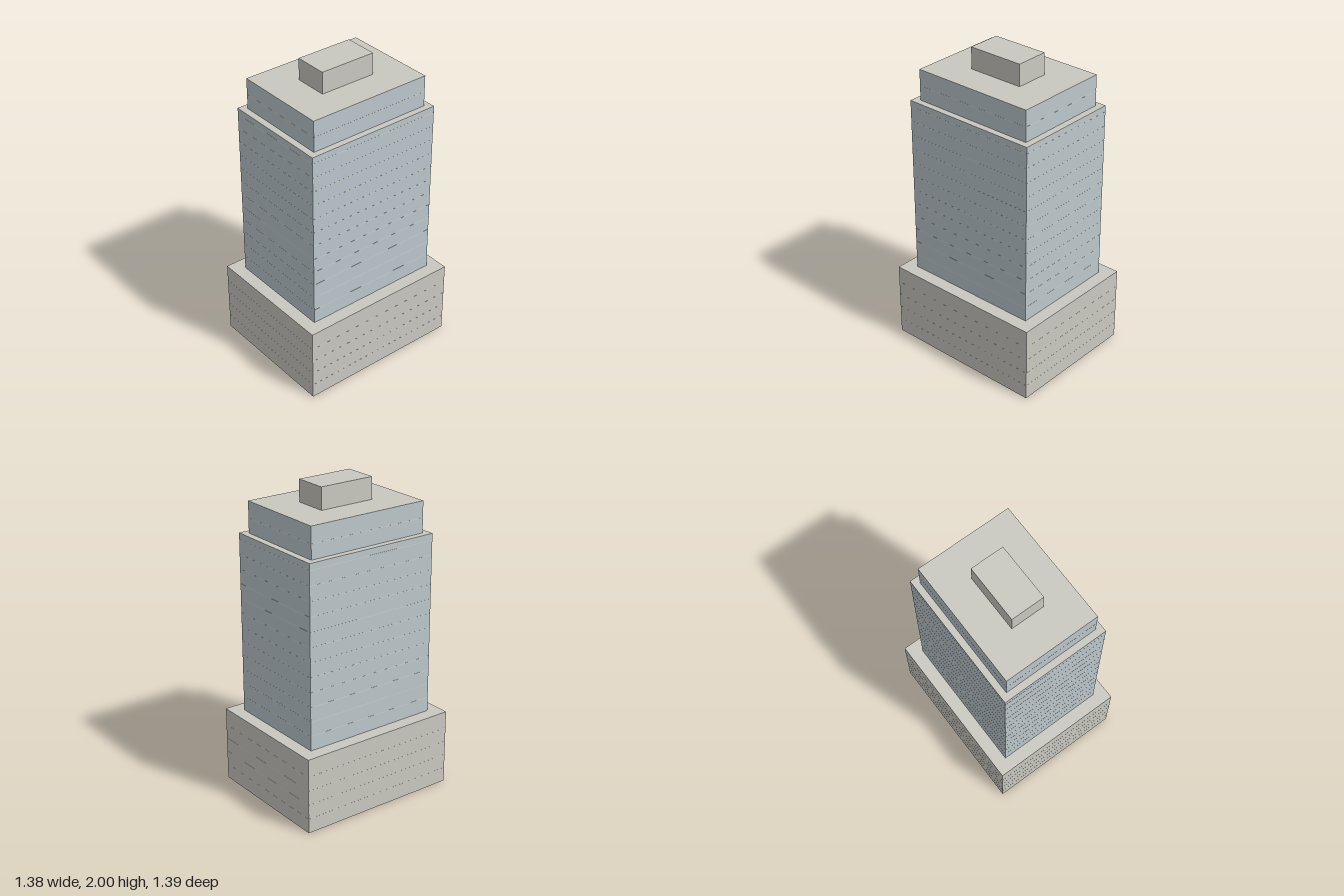
import * as THREE from 'three';

const stone = new THREE.MeshStandardMaterial({ color: 0xc9c8c0 });
const glass = new THREE.MeshStandardMaterial({ color: 0xbcc8cc });
const trim = new THREE.MeshStandardMaterial({ color: 0xd0d0ca });

const FLOOR = 0.094; // storey height

// One stacked volume: coloured walls, stone roof, and a hairline band at each storey
function addTier(parent, name, width, depth, y0, y1, wall, banded) {
  const tier = new THREE.Group();
  tier.name = name;

  const body = new THREE.Mesh(
    new THREE.BoxGeometry(width, y1 - y0, depth),
    [wall, wall, stone, stone, wall, wall] // +x, -x, roof, underside, +z, -z
  );
  body.name = name + 'Walls';
  body.position.y = (y0 + y1) / 2;
  tier.add(body);

  if (banded) {
    const bandShape = new THREE.BoxGeometry(width + 0.001, 0.004, depth + 0.001);
    for (let y = y0 + FLOOR; y < y1 - 0.03; y += FLOOR) {
      const band = new THREE.Mesh(bandShape, trim);
      band.name = name + 'FloorBand';
      band.position.y = y;
      tier.add(band);
    }
  }
  parent.add(tier);
}

export function createModel() {
  const building = new THREE.Group();
  building.name = 'building';

  // The whole block stands turned on its plot
  const block = new THREE.Group();
  block.name = 'block';
  block.rotation.y = THREE.MathUtils.degToRad(-43.45);
  building.add(block);

  addTier(block, 'podium', 0.88, 1.075, 0, 0.49, stone, true);
  addTier(block, 'tower', 0.71, 0.91, 0.49, 1.66, glass, true);
  addTier(block, 'setbackStoreys', 0.628, 0.824, 1.66, 1.86, glass, true);
  addTier(block, 'roofPlantRoom', 0.218, 0.373, 1.86, 2, stone, false);

  return building;
}
